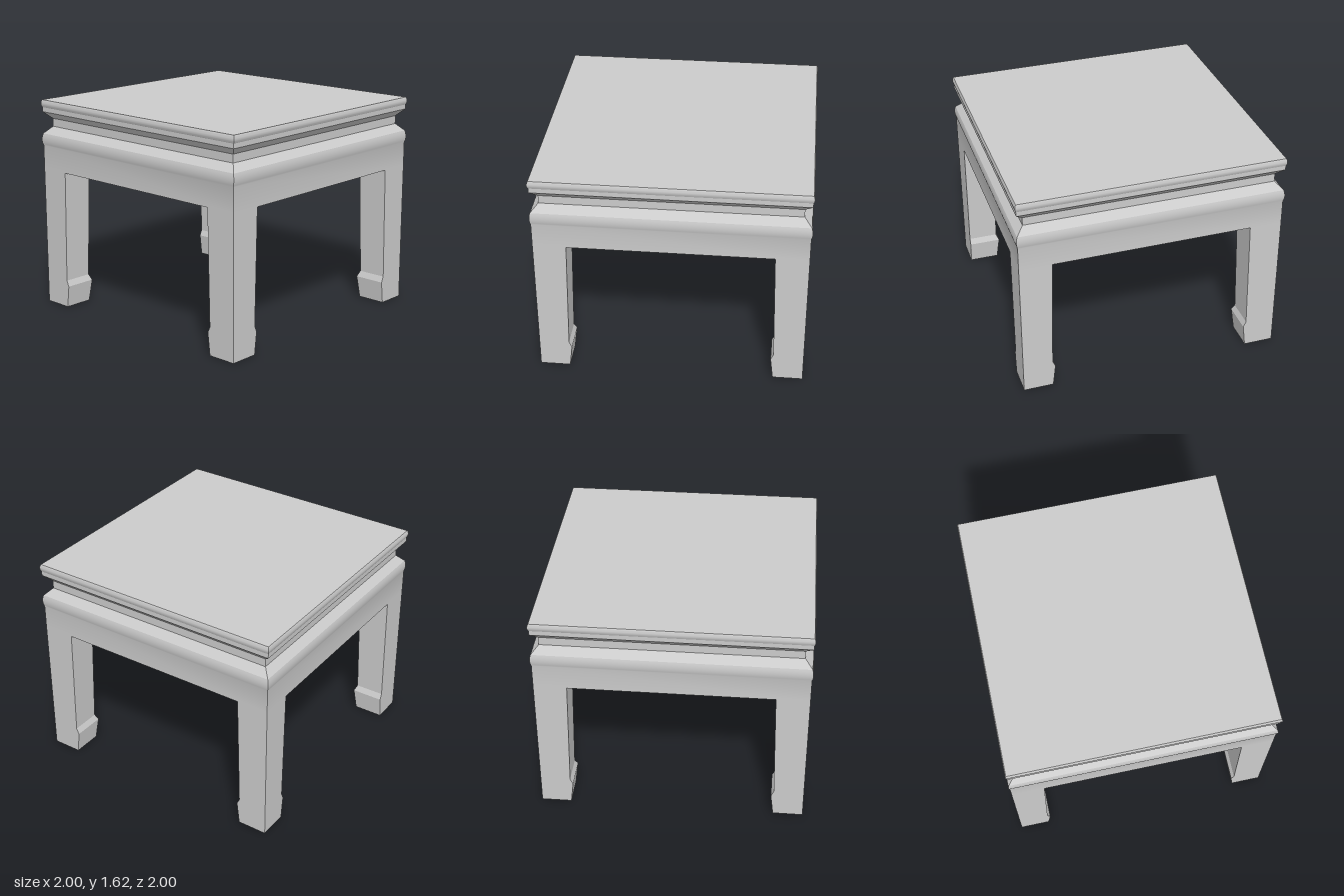
import * as THREE from 'three';
import { toCreasedNormals } from 'three/addons/utils/BufferGeometryUtils.js';

const HALF = 0.992;

// Square solid from a profile of [half width, y], listed bottom to top
function squareLoft(profile) {
  const points = profile.map(([h, y]) => new THREE.Vector2(h * Math.SQRT2, y));
  return new THREE.LatheGeometry(points, 4, Math.PI / 4);
}

// Shallow convex moulding between two heights
function bulge(y0, y1, depth, steps = 8) {
  const angle = 2 * Math.atan((2 * depth) / (y1 - y0));
  const radius = (y1 - y0) / 2 / Math.sin(angle);
  return Array.from({ length: steps + 1 }, (_, i) => {
    const a = angle * ((2 * i) / steps - 1);
    return [HALF + radius * (Math.cos(a) - Math.cos(angle)), (y0 + y1) / 2 + radius * Math.sin(a)];
  });
}

export function createModel() {
  const group = new THREE.Group();
  group.name = 'stool';
  const material = new THREE.MeshStandardMaterial({ color: 0xcccccc });
  const add = (name, geometry) => {
    const mesh = new THREE.Mesh(toCreasedNormals(geometry, 0.3), material);
    mesh.name = name;
    group.add(mesh);
    return mesh;
  };

  // Apron with moulded upper edge, sloping in to the waist
  add('apron', squareLoft([
    [0, 1.082], [HALF, 1.082], ...bulge(1.265, 1.36, 0.008), [0.938, 1.415], [0, 1.415],
  ]));

  // Recessed waist
  add('waist', squareLoft([[0.938, 1.415], [0.938, 1.477]]));

  // Seat flaring out from the waist to a rounded rim
  add('seat', squareLoft([
    [0, 1.477], [0.938, 1.477], [HALF, 1.53], ...bulge(1.565, 1.623, 0.008), [0, 1.623],
  ]));

  // Legs: straight outside, tapered inside, with a swollen foot
  const inner = [[0.768, 0], [0.748, 0.17], [0.768, 0.215], [0.748, 1.082]];
  const legGeometry = squareLoft([[0, 0], ...inner.map(([x, y]) => [(HALF - x) / 2, y])]);
  // Slide every section so its outer corner stays on the stool's corner
  const p = legGeometry.attributes.position;
  for (let i = 0; i < p.count; i++) {
    p.setX(i, p.getX(i) + HALF - Math.abs(p.getX(i)));
    p.setZ(i, p.getZ(i) + HALF - Math.abs(p.getZ(i)));
  }
  ['frontLeftLeg', 'backLeftLeg', 'backRightLeg', 'frontRightLeg'].forEach((name, i) => {
    add(name, legGeometry).rotation.y = (i * Math.PI) / 2;
  });

  return group;
}
